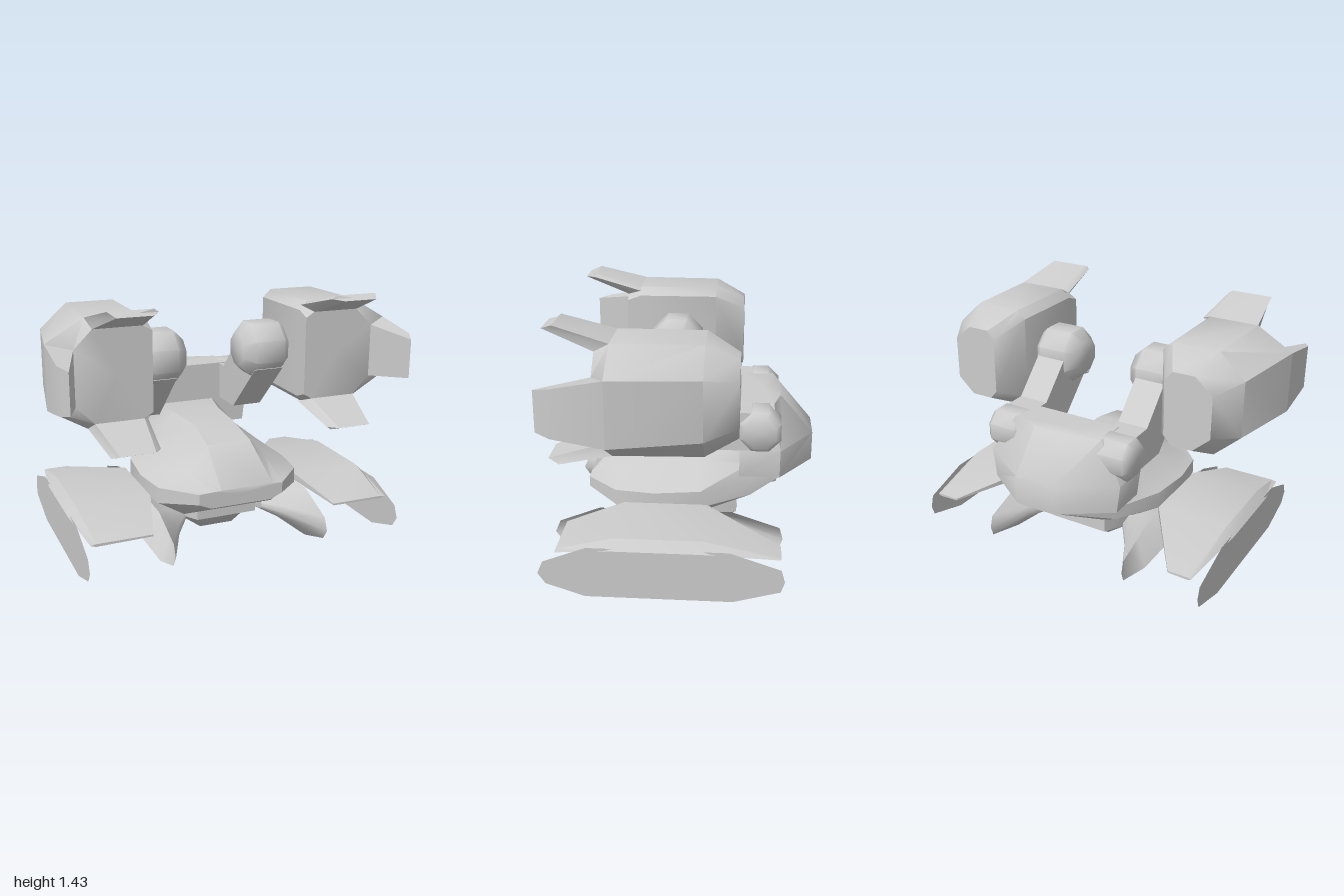
import * as THREE from 'three';
import { toCreasedNormals } from 'three/addons/utils/BufferGeometryUtils.js';

const solid = new THREE.MeshStandardMaterial({ color: 0xcccccc });
const sheet = new THREE.MeshStandardMaterial({ color: 0xcccccc, side: THREE.DoubleSide });

// Skins a list of equal-length rings of [x, y, z]; faces are turned outward by signed volume.
function loft(rings, { capped = true, crease = 0.75 } = {}) {
  const tris = [];
  const n = rings[0].length;
  for (let r = 0; r < rings.length - 1; r++) {
    for (let i = 0; i < n; i++) {
      const j = (i + 1) % n, a = rings[r], b = rings[r + 1];
      tris.push([a[i], a[j], b[j]], [a[i], b[j], b[i]]);
    }
  }
  if (capped) {
    const mid = (ring) => [0, 1, 2].map((k) => ring.reduce((s, p) => s + p[k], 0) / n);
    const first = rings[0], last = rings[rings.length - 1];
    const c0 = mid(first), c1 = mid(last);
    for (let i = 0; i < n; i++) {
      const j = (i + 1) % n;
      tris.push([c0, first[j], first[i]], [c1, last[i], last[j]]);
    }
  }
  const v = (p) => new THREE.Vector3(...p);
  const volume = tris.reduce((s, [a, b, c]) => s + v(a).dot(v(b).cross(v(c))), 0);
  if (volume < 0) tris.forEach((t) => t.reverse());
  const geo = new THREE.BufferGeometry();
  geo.setAttribute('position', new THREE.Float32BufferAttribute(tris.flat(2), 3));
  return toCreasedNormals(geo, crease);
}

function add(parent, name, geo, material = solid) {
  const mesh = new THREE.Mesh(geo, material);
  mesh.name = name;
  parent.add(mesh);
  return mesh;
}

// Closed ring, symmetric about x = 0, from its right-hand half outline
const mirrorRing = (half) => [...half, ...half.map(([x, y, z]) => [-x, y, z]).reverse()];

// Octagonal barrel with chamfered ends lying along x
function barrel(x0, x1, radius, chamfer, sides) {
  const pts = [[0, x0], [radius - chamfer, x0], [radius, x0 + chamfer],
    [radius, x1 - chamfer], [radius - chamfer, x1], [0, x1]];
  const geo = new THREE.LatheGeometry(pts.map(([r, y]) => new THREE.Vector2(r, y)), sides, Math.PI / sides);
  geo.rotateZ(-Math.PI / 2);
  return toCreasedNormals(geo, 0.85);
}

// Side outline shared by skids and plates, as [z, y]
const runner = [[0.73, 0.13], [0.7, 0.2], [0.47, 0.29], [-0.28, 0.29], [-0.55, 0.2],
  [-0.57, 0.13], [-0.55, 0.07], [-0.3, 0], [0.48, 0], [0.69, 0.07]];

function buildHull(parent) {
  // Each section: z, then [half width, height] from belly to roof
  const sections = [
    [0.56, [0.18, 0.3], [0.25, 0.33], [0.25, 0.39], [0.19, 0.393], [0.12, 0.395]],
    [0.38, [0.27, 0.21], [0.42, 0.3], [0.42, 0.39], [0.24, 0.47], [0.13, 0.6]],
    [0.16, [0.27, 0.19], [0.45, 0.3], [0.45, 0.39], [0.25, 0.5], [0.12, 0.652]],
    [-0.1, [0.27, 0.2], [0.43, 0.3], [0.43, 0.4], [0.27, 0.52], [0.14, 0.652]],
    [-0.38, [0.22, 0.3], [0.3, 0.33], [0.3, 0.4], [0.28, 0.52], [0.2, 0.652]],
    [-0.72, [0.1, 0.485], [0.12, 0.49], [0.12, 0.5], [0.11, 0.52], [0.1, 0.54]],
  ];
  add(parent, 'hull', loft(sections.map(([z, ...half]) => mirrorRing(half.map(([x, y]) => [x, y, z])))));

  const belly = [[0.36, 0.18, 0.15], [0.2, 0.24, 0.03], [-0.12, 0.24, 0.03], [-0.3, 0.18, 0.16]];
  add(parent, 'belly', loft(belly.map(([z, w, y]) => mirrorRing(
    [[w * 0.42, y, z], [w, Math.max(0.13, y), z], [w, 0.24, z]]))));

  // Rear engine block with sloping back
  const engine = [[0.49, 0.4, -0.54, 0.12, -0.73], [0.655, 0.42, -0.54, 0.12, -0.73],
    [0.88, 0.28, -0.5, 0.12, -0.54]];
  add(parent, 'engineBlock', loft(engine.map(([y, w, z, wb, zb]) => mirrorRing(
    [[w, y, -0.315], [w, y, z], [wb, y, zb]])), { crease: 0.9 }));
}

function buildUnderside(parent, s) {
  // Hollow skid flaring outward from the belly
  const skidRing = (x, k) => runner.map(([z, y]) => [s * x, 0.165 + (y - 0.165) * k[1], 0.06 + (z - 0.06) * k[0]]);
  add(parent, 'skid', loft([skidRing(0.24, [0.4, 0.3]), skidRing(0.34, [0.64, 0.55]), skidRing(0.45, [1, 1])],
    { capped: false, crease: 1 }), sheet);

  // Thin wing drooping at front and back
  const wing = [
    // z, inner x, outer x, edge x, top y, edge y, lower y
    [0.64, 0.54, 0.85, 0.88, 0.245, 0.24, 0.235],
    [0.33, 0.45, 0.87, 0.92, 0.33, 0.28, 0.29],
    [-0.14, 0.45, 0.87, 0.92, 0.33, 0.28, 0.29],
    [-0.55, 0.72, 0.84, 0.86, 0.235, 0.23, 0.225],
  ].map(([z, xi, xo, xe, yt, ye, yb]) => [[s * xi, yt, z], [s * xo, yt, z], [s * xe, ye, z],
    [s * xo, yb - 0.005, z], [s * xi, yb, z]]);
  add(parent, 'wing', loft(wing, { crease: 0.6 }));

  // Upright plate at the wing tip
  const plate = new THREE.ShapeGeometry(new THREE.Shape(runner.map(([z, y]) => new THREE.Vector2(-z, y))));
  plate.rotateY(Math.PI / 2);
  add(parent, 'sidePlate', plate, sheet).position.x = s * 0.91;
}

function buildArm(parent, s) {
  const outline = [[-0.45, 0.655], [-0.1, 0.655], [0.2, 0.95], [0.09, 1.12], [-0.04, 1.09], [-0.25, 0.875], [-0.45, 0.875]];
  const arm = new THREE.ExtrudeGeometry(new THREE.Shape(outline.map(([z, y]) => new THREE.Vector2(-z, y))),
    { depth: 0.18, bevelEnabled: false });
  arm.rotateY(Math.PI / 2);
  add(parent, 'arm', arm).position.x = s * 0.33 - 0.09;
  const lower = add(parent, 'lowerJoint', barrel(-0.11, 0.11, 0.122, 0.03, 8));
  lower.position.set(s * 0.345, 0.768, -0.428);
  const upper = add(parent, 'upperJoint', barrel(-0.15, 0.15, 0.165, 0.065, 8));
  upper.position.set(s * 0.325, 1.06, 0.09);
}

function buildPod(parent, s) {
  const cy = 1.06;
  // z, inner x, roof start, roof end, outer x, then half heights of inner, roof, outer
  const shell = [
    [-0.315, 0.55, 0.59, 0.72, 0.82, 0.16, 0.21, 0.12],
    [-0.14, 0.45, 0.5, 0.77, 0.92, 0.25, 0.297, 0.16],
    [0.33, 0.45, 0.5, 0.79, 1.0, 0.25, 0.297, 0.175],
    [0.41, 0.45, 0.5, 0.77, 0.87, 0.22, 0.25, 0.15],
  ].map(([z, xi, x1, x2, xo, hi, ht, ho]) => {
    const half = [[xi, hi], [x1, ht], [x2, ht], [xo, ho]];
    const lowerHalf = half.map(([x, h]) => [x, -h]).reverse();
    return [...half, ...lowerHalf].map(([x, h]) => [s * x, cy + h, z]);
  });
  add(parent, 'podShell', loft(shell));

  // Upper and lower prongs
  for (const v of [1, -1]) {
    const place = (ring) => ring.map(([x, h, z]) => [s * x, cy + v * h, z]);
    const base = [[0.455, 0.28, 0.33], [0.5, 0.297, 0.33], [0.79, 0.297, 0.33], [0.77, 0.25, 0.41], [0.5, 0.25, 0.41]];
    const tip = [[0.485, 0.355, 0.62], [0.51, 0.373, 0.62], [0.75, 0.373, 0.62], [0.72, 0.35, 0.68], [0.53, 0.35, 0.68]];
    add(parent, v > 0 ? 'upperProng' : 'lowerProng', loft([place(base), place(tip)], { crease: 0.5 }));
  }

  // Outer prong
  const bar = (xo, xi, ho, hi, zo, zi) =>
    [[xo, ho, zo], [xo, -ho, zo], [xi, -hi, zi], [xi, hi, zi]].map(([x, h, z]) => [s * x, cy + h, z]);
  add(parent, 'outerProng', loft([bar(1.0, 0.87, 0.175, 0.15, 0.33, 0.41), bar(1.0, 0.96, 0.127, 0.11, 0.6, 0.68)],
    { crease: 0.5 }));
}

export function createModel() {
  const model = new THREE.Group();
  model.name = 'hoverCraft';
  buildHull(model);
  for (const s of [1, -1]) {
    const side = new THREE.Group();
    side.name = s > 0 ? 'leftSide' : 'rightSide';
    buildUnderside(side, s);
    buildArm(side, s);
    buildPod(side, s);
    model.add(side);
  }
  return model;
}
